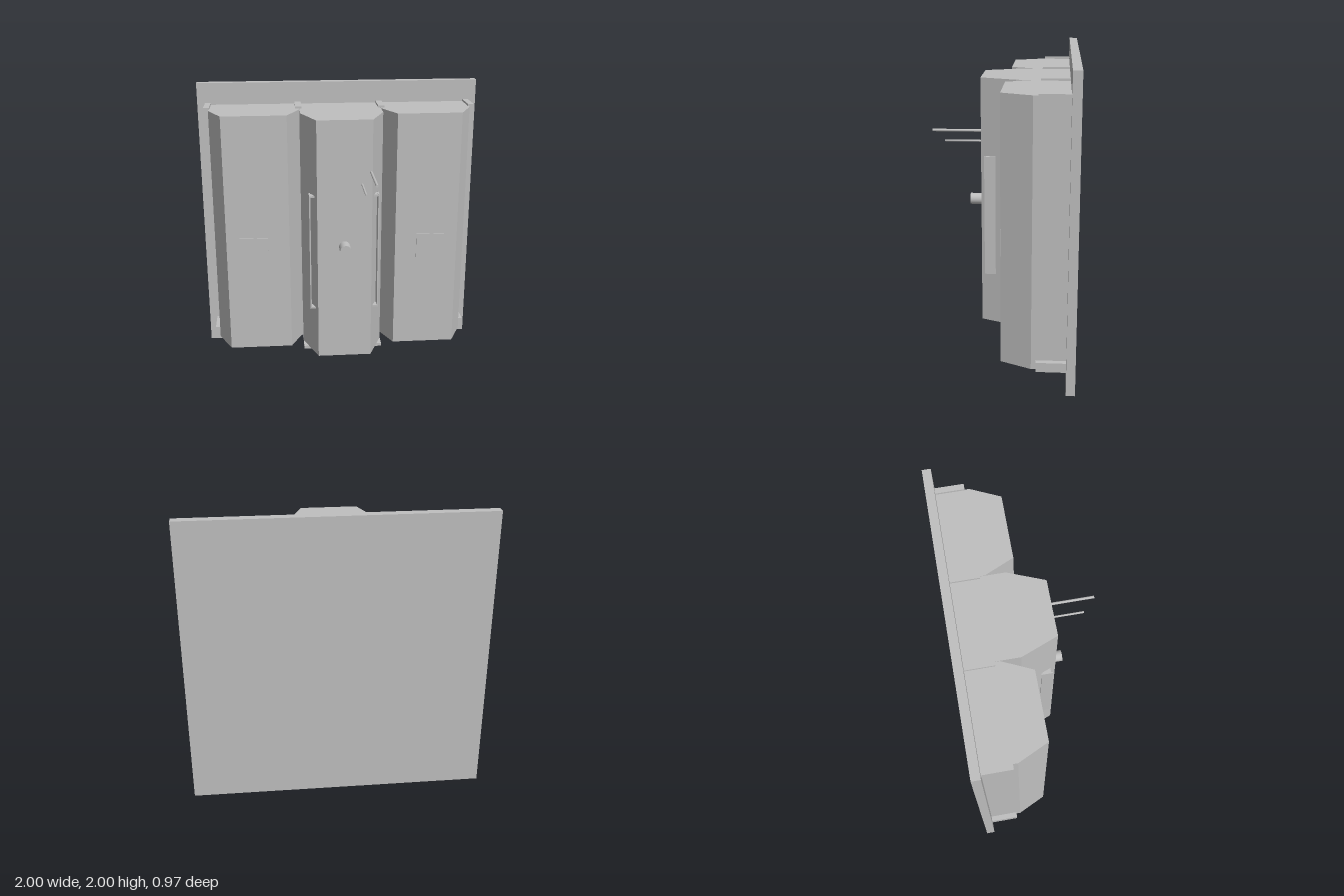
import * as THREE from 'three';

const grey = new THREE.MeshStandardMaterial({ color: 0xbfbfbf });
grey.name = 'plain grey';

export function createModel() {
  const model = new THREE.Group();
  model.name = 'wallCabinet';

  const add = (name, geometry) => {
    const mesh = new THREE.Mesh(geometry, grey);
    mesh.name = name;
    model.add(mesh);
    return mesh;
  };
  // Box given by its limits on each axis
  const box = (name, x0, x1, y0, y1, z0, z1) =>
    add(name, new THREE.BoxGeometry(Math.abs(x1 - x0), y1 - y0, z1 - z0))
      .position.set((x0 + x1) / 2, (y0 + y1) / 2, (z0 + z1) / 2);
  // Upright prism from a plan outline of [x, z] points
  const prism = (name, plan, y0, y1) => {
    const shape = new THREE.Shape(plan.map(([x, z]) => new THREE.Vector2(x, -z)));
    const geometry = new THREE.ExtrudeGeometry(shape, { depth: y1 - y0, bevelEnabled: false });
    geometry.rotateX(-Math.PI / 2);
    add(name, geometry).position.y = y0;
  };
  // Round bar pointing forward
  const bar = (name, x, y, r, z0, z1, sides) => {
    const geometry = new THREE.CylinderGeometry(r, r, z1 - z0, sides);
    geometry.rotateX(Math.PI / 2);
    add(name, geometry).position.set(x, y, (z0 + z1) / 2);
  };

  // Back plate and the three chamfered housings
  box('backPlate', -1, 1, 0, 2, -0.487, -0.43);
  prism('centreHousing', [[-0.283, -0.43], [-0.283, -0.08], [-0.187, 0.16],
    [0.187, 0.16], [0.283, -0.08], [0.283, -0.43]], 0.128, 1.846);

  for (const s of [-1, 1]) {
    const side = s > 0 ? 'left' : 'right';
    prism(side + 'Housing', [[s * 0.285, -0.43], [s * 0.285, -0.21], [s * 0.375, -0.015],
      [s * 0.818, -0.015], [s * 0.91, -0.21], [s * 0.91, -0.43]], 0.128, 1.846);

    // Corner and inner mounting brackets
    for (const [y0, y1] of [[0.128, 0.19], [1.8, 1.86]]) {
      box(side + 'OuterBracket', s * 0.905, s * 0.945, y0, y1, -0.43, -0.24);
      box(side + 'InnerBracket', s * 0.268, s * 0.312, y0 - (y0 < 1 ? 0.004 : 0), y1, -0.43, -0.24);
    }

    // Front panel on each side housing
    box(side + 'FrontPanel', s * 0.527, s * 0.725, 0.802, 0.98, -0.016, -0.007);

    // Long grip with short standoffs on the centre housing
    box(side + 'Grip', s * 0.231, s * 0.24, 0.492, 1.325, 0.06, 0.135);
    for (const y of [0.487, 1.31])
      box(side + 'GripStandoff', s * 0.19, s * 0.234, y, y + 0.012, 0.068, 0.125);

    // Underside: rails and louvred doors
    box(side + 'UndersideRail', s * 0.225, s * 0.285, 0.107, 0.13, -0.21, 0.003);
    box(side + 'UndersideDoor', s * 0.004, s * 0.213, 0.082, 0.09, -0.39, -0.08);
  }

  // Tray carrying the underside doors
  box('undersideTray', -0.245, 0.245, 0.089, 0.128, -0.43, -0.055);

  // Row of tabs under the right housing
  for (const x of [-0.74, -0.64, -0.53])
    box('undersideTab', x - 0.04, x + 0.04, 0.113, 0.13, -0.28, -0.2);

  // Knob and two projecting rods
  bar('knob', 0, 0.965, 0.039, 0.155, 0.253, 24);
  bar('shortRod', 0.118, 1.407, 0.007, 0.155, 0.41, 10);
  bar('longRod', 0.178, 1.49, 0.009, 0.155, 0.485, 10);

  return model;
}
